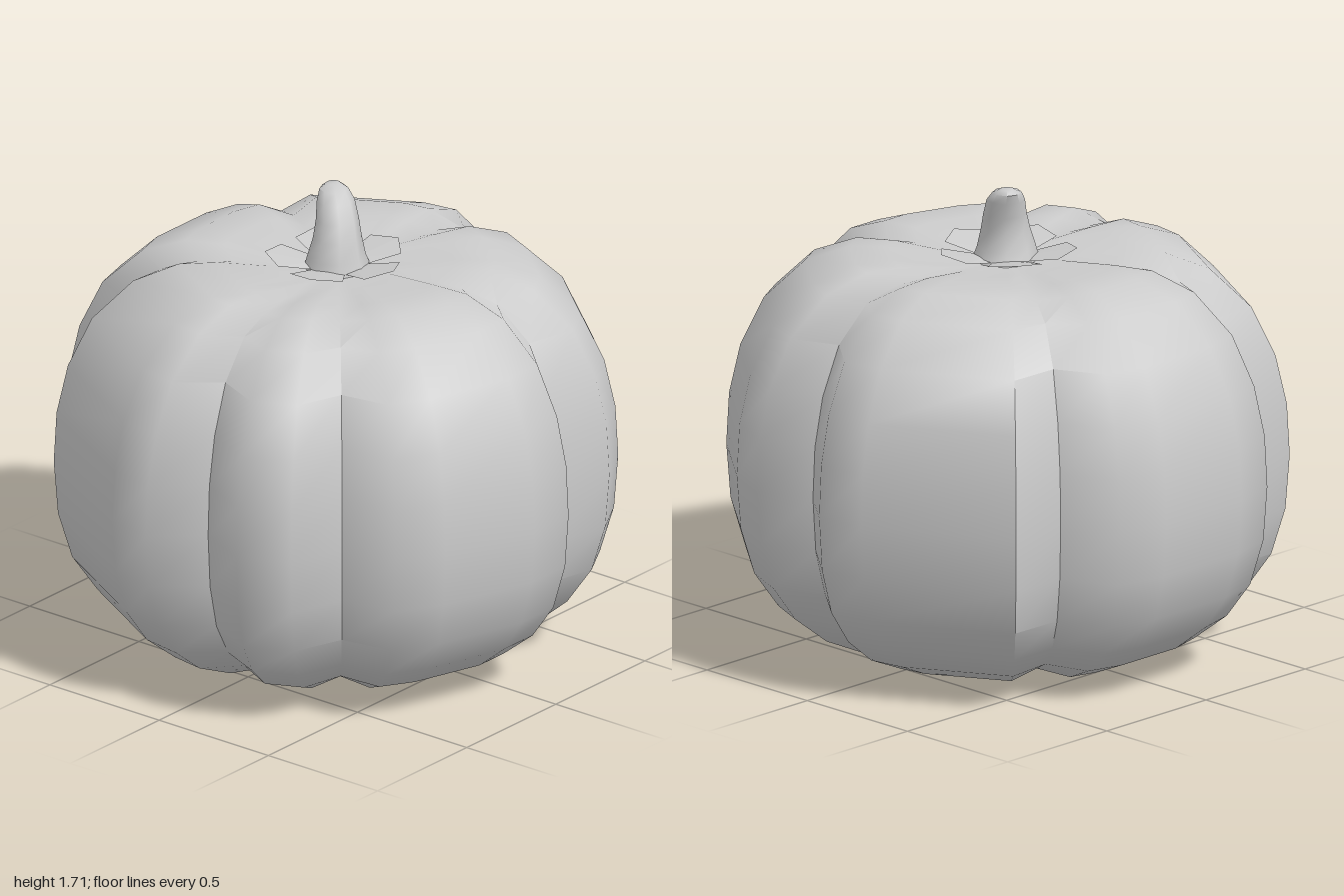
import * as THREE from 'three';
import { toCreasedNormals } from 'three/addons/utils/BufferGeometryUtils.js';

const CREASE = 0.95; // keeps the grooves sharp and the lobes smooth

// Widest outline seen from above, as [x, z]; each row is one lobe that starts in its groove
const LOBES = [
  [[-0.47, -0.74], [-0.37, -0.94], [-0.19, -0.99], [0.19, -0.99], [0.37, -0.94]],
  [[0.47, -0.74], [0.69, -0.735], [0.97, -0.24], [1.0, -0.06]],
  [[0.86, 0.11], [0.94, 0.31], [0.86, 0.49], [0.62, 0.78], [0.46, 0.87]],
  [[0.24, 0.82], [0.09, 0.985], [-0.1, 0.985], [-0.46, 0.87], [-0.62, 0.77]],
  [[-0.66, 0.56], [-0.86, 0.49], [-0.945, 0.31]],
  [[-0.86, 0.11], [-1.0, -0.06], [-0.97, -0.24], [-0.69, -0.735]],
];

// Body profile from bottom to top: [scale of the outline, y, extra groove depth in y]
const PROFILE = [
  [0, 0.02, 0], [0.22, 0.01, 0], [0.4, 0.005, 0.02], [0.56, 0.03, 0.02], [0.72, 0.1, 0.01],
  [0.845, 0.2, 0], [0.935, 0.33, 0], [0.985, 0.5, 0], [1, 0.7, 0], [0.99, 0.89, 0],
  [0.95, 1.07, 0], [0.865, 1.25, 0], [0.72, 1.39, -0.01], [0.56, 1.45, -0.03],
  [0.42, 1.452, -0.025], [0.22, 1.43, 0], [0, 1.42, 0],
];

// Stem cross-sections: [x, y, z, radius]
const STEM = [
  [0, 1.41, 0, 0.125], [-0.005, 1.47, 0, 0.105], [0, 1.54, 0, 0.087], [0.015, 1.6, -0.012, 0.077],
  [0.033, 1.66, -0.034, 0.068], [0.048, 1.695, -0.055, 0.052], [0.058, 1.71, -0.065, 0.025],
  [0.058, 1.71, -0.065, 0],
];

// Skins closed rings of points that run clockwise seen from above, bottom ring first
function loft(rings) {
  const pos = [];
  const tri = (a, b, c) => {
    if (a.equals(b) || b.equals(c) || c.equals(a)) return;
    for (const p of [a, b, c]) pos.push(p.x, p.y, p.z);
  };
  for (let r = 0; r < rings.length - 1; r++) {
    const lo = rings[r], hi = rings[r + 1];
    for (let i = 0; i < lo.length; i++) {
      const j = (i + 1) % lo.length;
      tri(lo[i], hi[i], lo[j]);
      tri(lo[j], hi[i], hi[j]);
    }
  }
  const geo = new THREE.BufferGeometry();
  geo.setAttribute('position', new THREE.Float32BufferAttribute(pos, 3));
  return toCreasedNormals(geo, CREASE);
}

function bodyGeometry() {
  return loft(PROFILE.map(([s, y, dip]) => LOBES.flatMap((lobe) =>
    lobe.map(([x, z], i) => new THREE.Vector3(x * s, y + (i === 0 ? dip : 0), z * s)))));
}

function stemGeometry(sides = 8) {
  return loft(STEM.map(([x, y, z, r]) => Array.from({ length: sides }, (_, i) => {
    const a = (i / sides) * Math.PI * 2;
    return new THREE.Vector3(x + r * Math.sin(a), y, z - r * Math.cos(a));
  })));
}

// One pointed leaf, folded along its middle and pointing to +z
function sepalGeometry() {
  const geo = new THREE.BufferGeometry();
  geo.setAttribute('position', new THREE.Float32BufferAttribute([
    0, 1.44, 0.08, -0.06, 1.435, 0.08, 0.06, 1.435, 0.08,
    -0.1, 1.462, 0.205, 0.1, 1.462, 0.205, 0, 1.475, 0.258,
  ], 3));
  geo.setIndex([0, 1, 3, 0, 3, 5, 0, 5, 4, 0, 4, 2]);
  const flat = geo.toNonIndexed();
  flat.computeVertexNormals();
  return flat;
}

export function createModel() {
  const model = new THREE.Group();
  model.name = 'pumpkin';
  const grey = new THREE.MeshStandardMaterial({ color: 0xcccccc });
  const leafGrey = new THREE.MeshStandardMaterial({
    color: 0xcccccc, side: THREE.DoubleSide, flatShading: true,
  });
  const add = (name, geo, mat) => {
    const mesh = new THREE.Mesh(geo, mat);
    mesh.name = name;
    model.add(mesh);
    return mesh;
  };

  add('body', bodyGeometry(), grey);
  add('stem', stemGeometry(), grey);

  // Five leaves around the foot of the stem
  const leaf = sepalGeometry();
  for (let i = 0; i < 5; i++) {
    add('sepal' + (i + 1), leaf, leafGrey).rotation.y = (i / 5) * Math.PI * 2;
  }
  return model;
}
